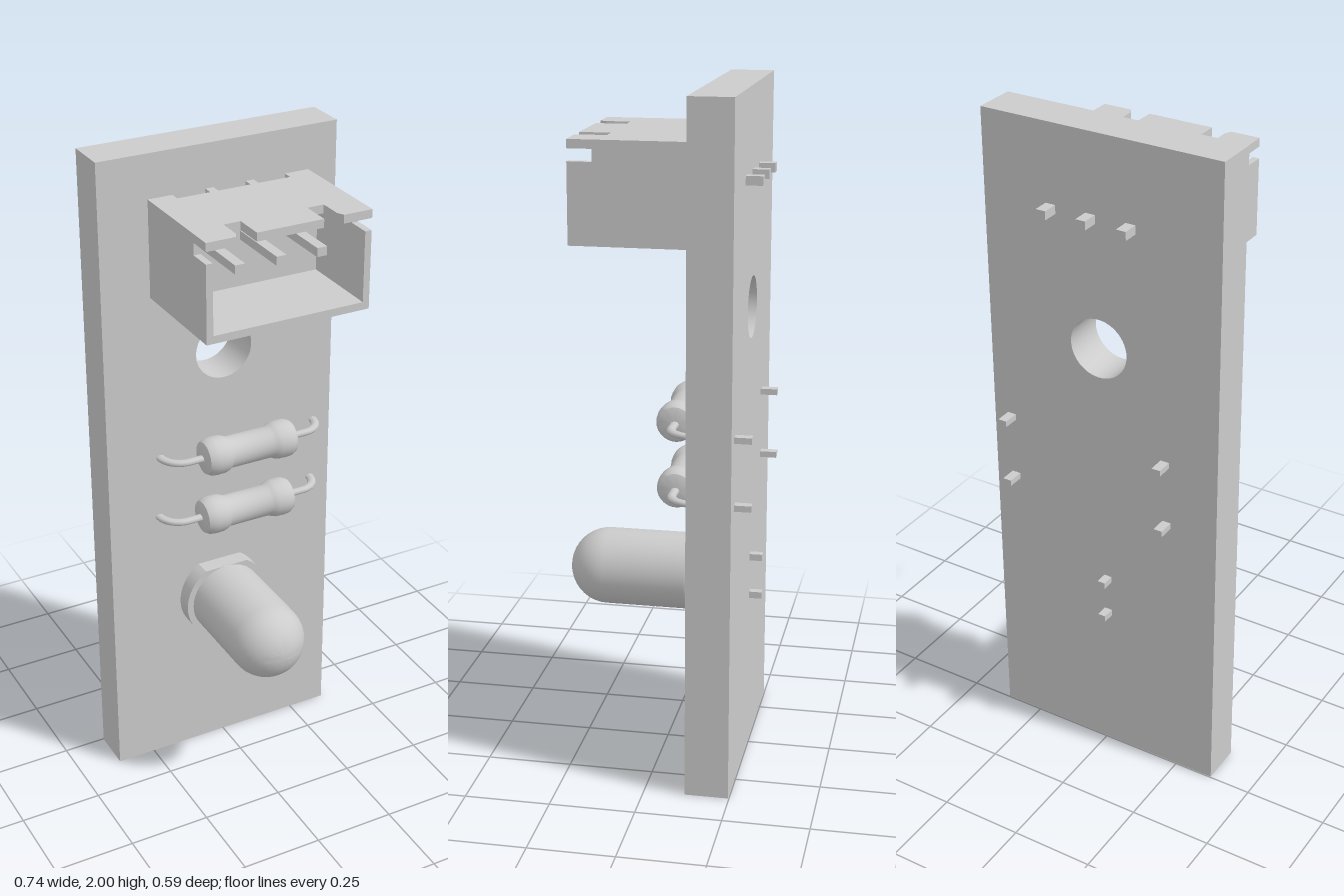
import * as THREE from 'three';
import { toCreasedNormals } from 'three/addons/utils/BufferGeometryUtils.js';

const mat = new THREE.MeshStandardMaterial({ color: 0xcccccc });
const FRONT = -0.12, BACK = -0.247; // board faces

function add(parent, name, geometry) {
  const mesh = new THREE.Mesh(geometry, mat);
  mesh.name = name;
  parent.add(mesh);
  return mesh;
}

// Box given by its limits on each axis
function box(parent, name, x0, x1, y0, y1, z0, z1) {
  const mesh = add(parent, name, new THREE.BoxGeometry(x1 - x0, y1 - y0, z1 - z0));
  mesh.position.set((x0 + x1) / 2, (y0 + y1) / 2, (z0 + z1) / 2);
  return mesh;
}

function extrude(points, depth) {
  const shape = new THREE.Shape(points.map(([x, y]) => new THREE.Vector2(x, y)));
  return new THREE.ExtrudeGeometry(shape, { depth, bevelEnabled: false });
}

function lathe(points, segments, crease) {
  const g = new THREE.LatheGeometry(points.map(([r, y]) => new THREE.Vector2(r, y)), segments);
  return toCreasedNormals(g, crease);
}

function makeBoard() {
  const shape = new THREE.Shape();
  shape.moveTo(-0.37, 0).lineTo(0.37, 0).lineTo(0.37, 2).lineTo(-0.37, 2).closePath();
  const hole = new THREE.Path();
  hole.absarc(0.01, 1.37, 0.09, 0, Math.PI * 2, true);
  shape.holes.push(hole);
  const g = new THREE.ExtrudeGeometry(shape, { depth: FRONT - BACK, bevelEnabled: false, curveSegments: 24 });
  g.translate(0, 0, BACK);
  const board = new THREE.Mesh(toCreasedNormals(g, 0.6), mat);
  board.name = 'circuitBoard';
  return board;
}

function makeConnector() {
  const group = new THREE.Group();
  group.name = 'connector';
  const L = -0.22, R = 0.28, front = 0.225;
  const pins = [-0.095, 0.03, 0.155];

  // Top plate with three rear notches and two flared front slots
  const outline = [[L, FRONT]];
  for (const x of pins) {
    outline.push([x - 0.05, FRONT], [x - 0.05, -0.09], [x + 0.05, -0.09], [x + 0.05, FRONT]);
  }
  outline.push([R, FRONT], [R, front]);
  outline.push([0.192, front], [0.182, 0.205], [0.182, 0.135], [0.131, 0.135], [0.131, front]);
  outline.push([-0.071, front], [-0.071, 0.135], [-0.122, 0.135], [-0.122, 0.205], [-0.132, front]);
  outline.push([L, front]);
  const top = add(group, 'housingTop', extrude(outline, 0.025));
  top.rotation.x = Math.PI / 2;
  top.position.y = 1.87;

  // Side walls, notched just below the top plate
  const side = [[FRONT, 1.58], [front, 1.58], [front, 1.81], [0.155, 1.81], [0.155, 1.845], [FRONT, 1.845]];
  for (const x of [L + 0.02, R]) {
    const wall = add(group, 'housingSide', extrude(side, 0.02));
    wall.rotation.y = -Math.PI / 2;
    wall.position.x = x;
  }
  box(group, 'housingBottom', L + 0.02, R - 0.02, 1.58, 1.603, FRONT, front);
  box(group, 'housingBack', L + 0.02, R - 0.02, 1.603, 1.845, -0.09, -0.03);
  box(group, 'housingFoot', L + 0.02, R - 0.02, 1.603, 1.7, FRONT, -0.09);
  for (const x of pins) box(group, 'connectorPin', x - 0.015, x + 0.015, 1.742, 1.768, -0.295, 0.178);
  return group;
}

function makeResistor(x, y) {
  const group = new THREE.Group();
  group.name = 'resistor';
  // Bulged body with a slimmer waist
  const half = [[0, 0.15], [0.035, 0.15], [0.049, 0.145], [0.056, 0.132], [0.058, 0.115],
    [0.057, 0.09], [0.053, 0.077], [0.048, 0.068]];
  const profile = [...half.map(([r, h]) => [r, -h]), ...half.slice().reverse()];
  add(group, 'resistorBody', lathe(profile, 28, 0.7)).rotation.z = -Math.PI / 2;

  // Bent leads passing through the board
  for (const s of [-1, 1]) {
    const path = new THREE.CurvePath();
    const a = new THREE.Vector3(s * 0.14, 0, 0), b = new THREE.Vector3(s * 0.195, 0, 0);
    const c = new THREE.Vector3(s * 0.257, 0, -0.062), d = new THREE.Vector3(s * 0.257, 0, -0.237);
    path.add(new THREE.LineCurve3(a, b));
    path.add(new THREE.CubicBezierCurve3(b, new THREE.Vector3(s * 0.229, 0, 0),
      new THREE.Vector3(s * 0.257, 0, -0.028), c));
    path.add(new THREE.LineCurve3(c, d));
    add(group, 'resistorLead', new THREE.TubeGeometry(path, 32, 0.0135, 8)).scale.y = 0.72;
    box(group, 'leadTip', s * 0.257 - 0.0135, s * 0.257 + 0.0135, -0.009, 0.009, -0.238, -0.18);
  }
  group.position.set(x, y, -0.058);
  return group;
}

function makeLamp() {
  const group = new THREE.Group();
  group.name = 'lamp';
  // Round lens with a domed end
  const profile = [[0, 0], [0.115, 0], [0.115, 0.302]];
  for (let i = 1; i <= 10; i++) {
    const t = (i / 10) * Math.PI / 2;
    profile.push([i === 10 ? 0 : 0.115 * Math.cos(t), 0.302 + 0.115 * Math.sin(t)]);
  }
  add(group, 'lampLens', lathe(profile, 40, 0.6)).rotation.x = Math.PI / 2;

  // Flange with one flat edge on top
  const r = 0.135, a = Math.asin(0.115 / r);
  const shape = new THREE.Shape();
  shape.absarc(0, 0, r, Math.PI - a, Math.PI * 2 + a, false);
  shape.closePath();
  const flange = new THREE.ExtrudeGeometry(shape, { depth: 0.05, bevelEnabled: false, curveSegments: 36 });
  add(group, 'lampFlange', toCreasedNormals(flange, 0.5));
  for (const y of [-0.06, 0.06]) box(group, 'lampLead', -0.012, 0.012, y - 0.01, y + 0.01, -0.165, 0.01);
  group.position.set(-0.01, 0.545, FRONT);
  return group;
}

export function createModel() {
  const model = new THREE.Group();
  model.name = 'lampModule';
  model.add(makeBoard(), makeConnector(), makeResistor(0.055, 1.065), makeResistor(0.048, 0.866), makeLamp());
  return model;
}
